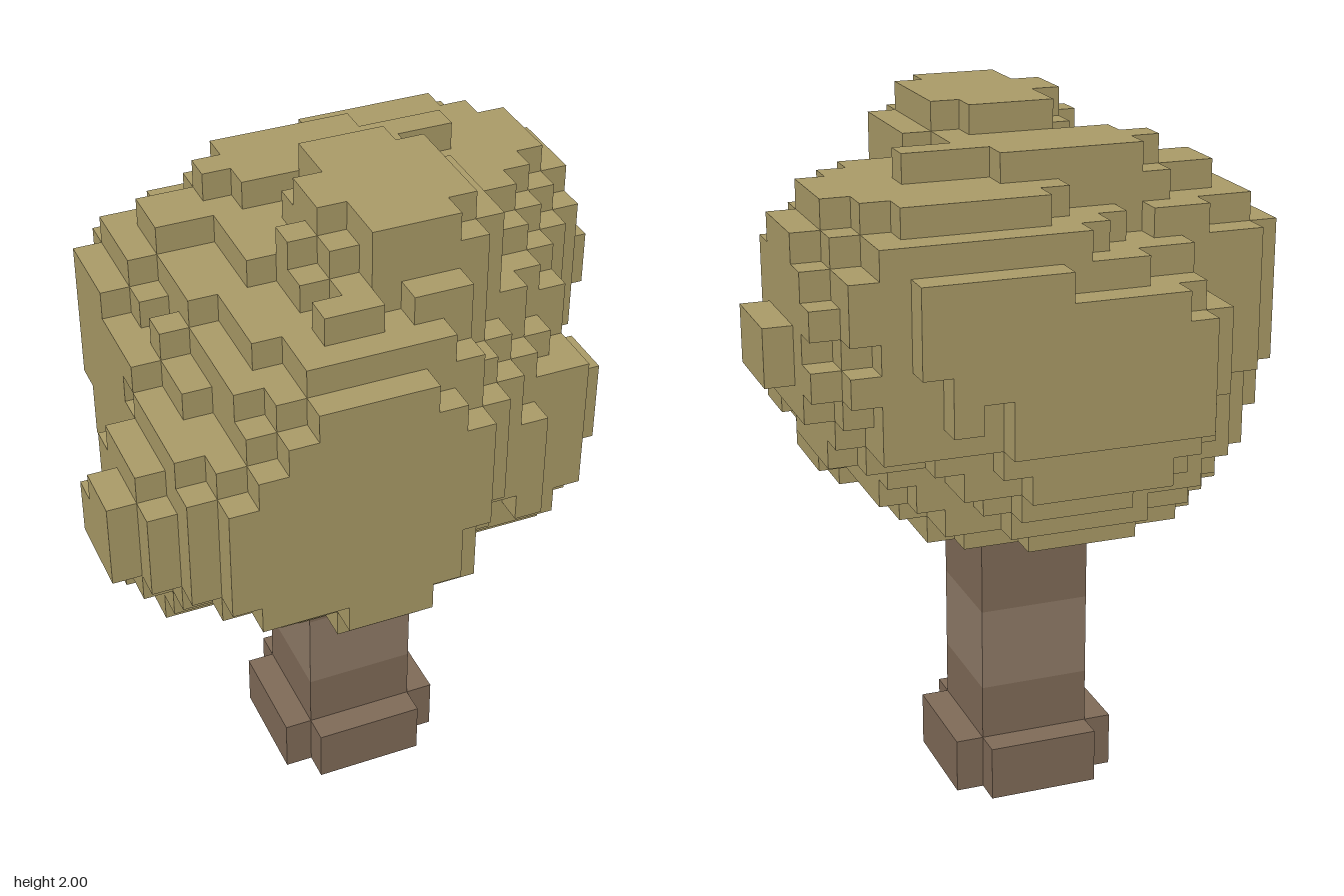
import * as THREE from 'three';
import { mergeGeometries } from 'three/addons/utils/BufferGeometryUtils.js';

const S = 0.08; // edge of one cube

// Outline limits of the crown in cubes: per layer from y = 0.8 up, and per row from the back
const layerX = [[-6, 4], [-8, 6], [-9, 7], [-9, 7], [-10, 8], [-10, 8], [-10, 9], [-9, 10],
  [-8, 10], [-8, 9], [-8, 9], [-7, 9], [-6, 8], [-4, 5], [-2, 4]];
const layerZ = [[-4, 4], [-6, 7], [-7, 8], [-7, 8], [-7, 8], [-8, 8], [-8, 8], [-8, 8],
  [-8, 8], [-8, 8], [-8, 8], [-7, 7], [-6, 6], [-4, 6], [-1, 5]];
const rowX = [[-4, 6], [-5, 8], [-5, 9], [-7, 9], [-8, 10], [-8, 10], [-8, 10], [-8, 9],
  [-8, 8], [-9, 7], [-10, 8], [-10, 8], [-10, 7], [-9, 5], [-9, 4], [-7, 2]];

// Leaf clumps: centre and radii
const clumps = [
  [-0.04, 1.3, 0, 0.63, 0.55, 0.56],       // core
  [-0.08, 1.0, 0, 0.52, 0.26, 0.4],        // underside
  [-0.14, 1.36, 0.28, 0.44, 0.46, 0.46],   // front bulge
  [-0.4, 1.28, 0.3, 0.33, 0.3, 0.42],      // its lower right half
  [-0.5, 1.24, 0.28, 0.3, 0.26, 0.22],     // its outer tip
  [-0.45, 1.12, 0.18, 0.3, 0.25, 0.26],    // low right
  [-0.12, 1.1, 0.36, 0.36, 0.25, 0.28],    // low front
  [0.24, 1.46, -0.18, 0.56, 0.42, 0.46],   // left bulge
  [0.45, 1.6, -0.18, 0.3, 0.28, 0.26],     // its shoulder
  [0.3, 1.6, -0.38, 0.36, 0.24, 0.3],      // upper back
  [-0.05, 1.36, -0.36, 0.4, 0.36, 0.34],   // lower back
  [0.06, 1.71, 0.15, 0.3, 0.36, 0.31],     // top
  [0, 1.7, -0.2, 0.42, 0.25, 0.17],        // ridge behind the top
  [-0.32, 1.46, -0.18, 0.36, 0.38, 0.28],  // back right
  [0.38, 1.2, 0.22, 0.3, 0.3, 0.26],       // front left
];

const inside = (v, [a, b]) => v >= a && v < b;

function hash(i, j, k) {
  const h = Math.sin(i * 12.99 + j * 78.23 + k * 37.72) * 43758.55;
  return h - Math.floor(h);
}

// True when the cube at (i, j, k) is leaf; j counts layers of the crown
function isLeaf(i, j, k) {
  if (j < 0 || j > 14 || k < -8 || k > 7) return false;
  if (!inside(i, layerX[j]) || !inside(k, layerZ[j]) || !inside(i, rowX[k + 8])) return false;
  if (j === 0 && i === 0 && k >= 2) return false; // gap in front of the trunk
  const x = (i + 0.5) * S, y = 0.8 + (j + 0.5) * S, z = (k + 0.5) * S;
  const rough = 1 + 0.16 * (hash(i, j, k) - 0.5);
  return clumps.some(([cx, cy, cz, rx, ry, rz]) =>
    ((x - cx) / rx) ** 2 + ((y - cy) / ry) ** 2 + ((z - cz) / rz) ** 2 < rough);
}

// One outward square for each of the six cube sides
function makeSides() {
  const side = (d, rx, ry) => ({
    d,
    geo: new THREE.PlaneGeometry(S, S).translate(0, 0, S / 2).rotateX(rx).rotateY(ry),
  });
  const q = Math.PI / 2;
  return [
    side([0, 0, 1], 0, 0), side([1, 0, 0], 0, q), side([0, 0, -1], 0, 2 * q),
    side([-1, 0, 0], 0, -q), side([0, 1, 0], -q, 0), side([0, -1, 0], q, 0),
  ];
}

// Only the exposed cube sides
function crownGeometry() {
  const sides = makeSides(), parts = [];
  for (let i = -10; i < 10; i++)
    for (let j = 0; j < 15; j++)
      for (let k = -8; k < 8; k++) {
        if (!isLeaf(i, j, k)) continue;
        for (const { d, geo } of sides) {
          if (isLeaf(i + d[0], j + d[1], k + d[2])) continue;
          parts.push(geo.clone().translate((i + 0.5) * S, 0.8 + (j + 0.5) * S, (k + 0.5) * S));
        }
      }
  return mergeGeometries(parts);
}

export function createModel() {
  const tree = new THREE.Group();
  tree.name = 'tree';
  const mat = (color) => new THREE.MeshStandardMaterial({ color, flatShading: true });
  const bark = mat(0x806b58), paleBark = mat(0x907b68), leaves = mat(0xab9c68);

  const box = (name, w, d, y0, y1, material) => {
    const m = new THREE.Mesh(new THREE.BoxGeometry(w, y1 - y0, d), material);
    m.position.y = (y0 + y1) / 2;
    m.name = name;
    tree.add(m);
  };

  // Cross-shaped foot
  box('rootsAcross', 0.48, 0.32, 0, 0.16, bark);
  box('rootsFrontBack', 0.32, 0.48, 0, 0.16, bark);

  // Trunk with a paler band
  box('lowerTrunk', 0.32, 0.32, 0.16, 0.32, bark);
  box('middleTrunk', 0.32, 0.32, 0.32, 0.56, paleBark);
  box('upperTrunk', 0.32, 0.32, 0.56, 0.9, bark);

  const crown = new THREE.Mesh(crownGeometry(), leaves);
  crown.name = 'crown';
  tree.add(crown);
  return tree;
}
